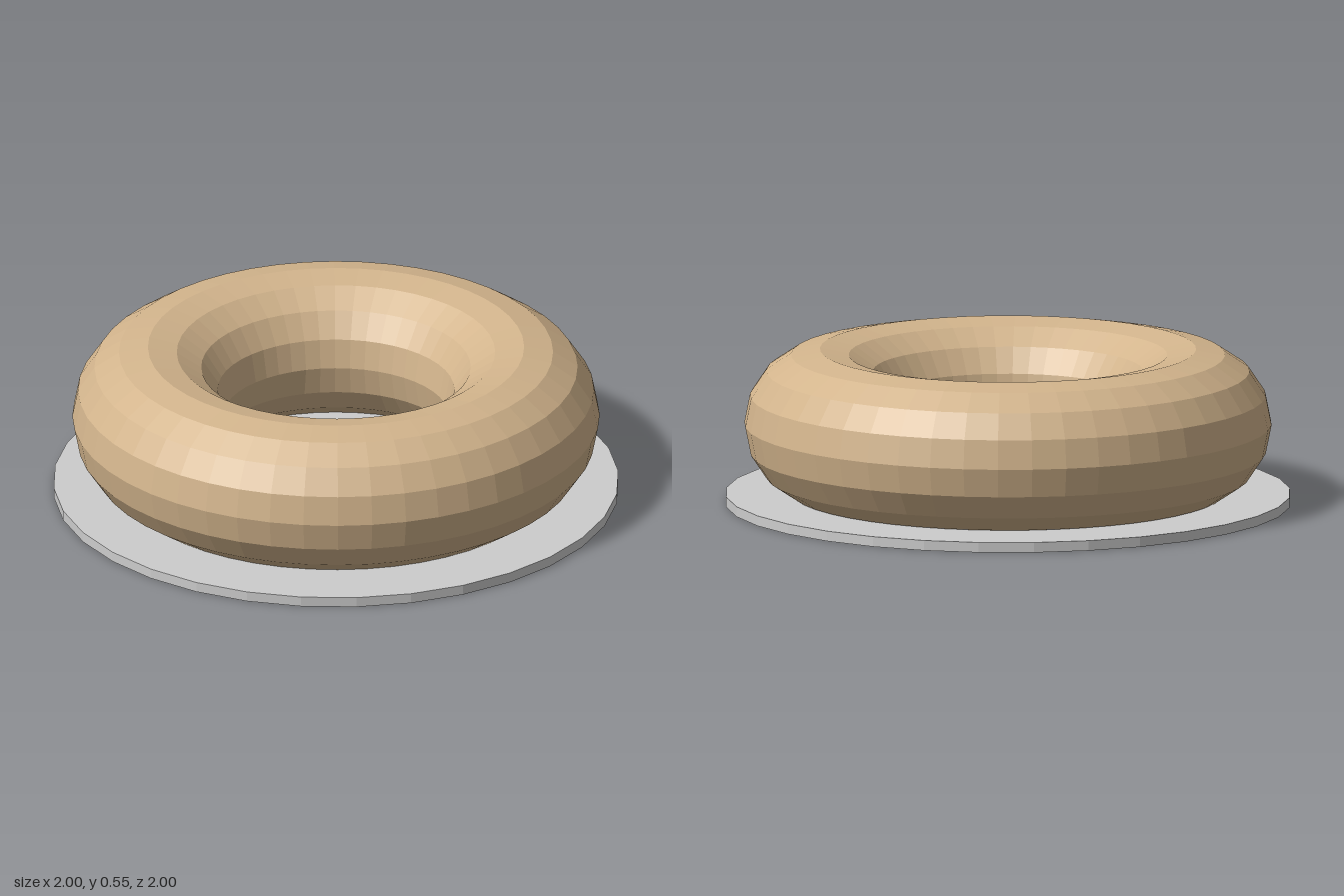
import * as THREE from 'three';

export function createModel() {
  const model = new THREE.Group();
  const tan = new THREE.MeshStandardMaterial({ color: 0xd2b48c, flatShading: true });
  tan.name = 'tan dough';
  const grey = new THREE.MeshStandardMaterial({ color: 0xcccccc, flatShading: true });
  grey.name = 'light grey plate';

  // Thin round plate
  const plateHeight = 0.036;
  const plate = new THREE.Mesh(new THREE.CylinderGeometry(1, 1, plateHeight, 32), grey);
  plate.name = 'plate';
  plate.position.y = plateHeight / 2;

  // Ring lying flat, slightly sunk into the plate
  const ring = new THREE.Mesh(
    new THREE.TorusGeometry(0.665, 0.267, 16, 48).rotateX(-Math.PI / 2), tan);
  ring.name = 'ring';
  ring.position.y = 0.285;

  model.add(plate, ring);
  return model;
}
